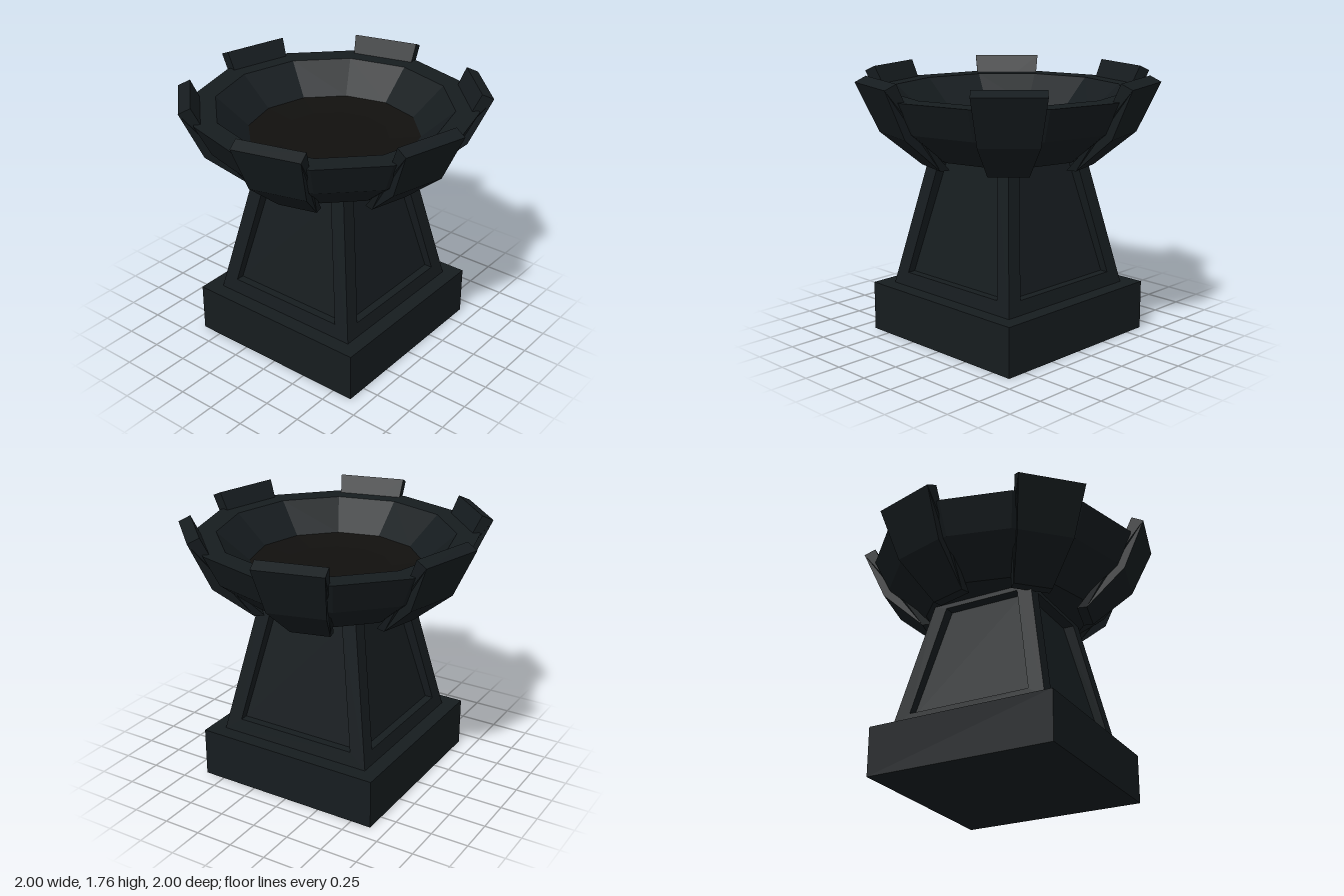
import * as THREE from 'three';

const iron = new THREE.MeshStandardMaterial({ color: 0x161c1f, flatShading: true });
const ash = new THREE.MeshStandardMaterial({ color: 0x11100e, flatShading: true });

function addMesh(parent, name, geometry, material) {
  const mesh = new THREE.Mesh(geometry, material);
  mesh.name = name;
  parent.add(mesh);
  return mesh;
}

// Twelve-sided turned shape from [radius, height] pairs
function turned(points) {
  return new THREE.LatheGeometry(points.map(p => new THREE.Vector2(p[0], p[1])), 12);
}

// One sloping pedestal side: frame, reveal and recessed panel, as nested trapezoids
function pedestalSide() {
  const faceZ = y => 0.54 - (y - 0.33) * 0.2;
  const trapezoid = (y0, w0, y1, w1, depth0, depth1) => [
    [-w0, y0, faceZ(y0) - depth0], [w0, y0, faceZ(y0) - depth0],
    [w1, y1, faceZ(y1) - depth1], [-w1, y1, faceZ(y1) - depth1],
  ];
  const loops = [
    trapezoid(0.33, 0.54, 1.235, 0.359, 0, 0),
    trapezoid(0.42, 0.42, 1.2, 0.265, 0, 0),
    trapezoid(0.42, 0.42, 1.2, 0.265, 0.055, 0.075),
  ];
  const positions = [];
  const quad = (a, b, c, d) => positions.push(...a, ...b, ...c, ...a, ...c, ...d);
  for (let l = 0; l < 2; l++) {
    for (let i = 0; i < 4; i++) {
      const j = (i + 1) % 4;
      quad(loops[l][i], loops[l][j], loops[l + 1][j], loops[l + 1][i]);
    }
  }
  quad(...loops[2]);
  const geometry = new THREE.BufferGeometry();
  geometry.setAttribute('position', new THREE.Float32BufferAttribute(positions, 3));
  geometry.computeVertexNormals();
  return geometry;
}

// Bent rib that follows the bowl wall and widens upward
function ribGeometry() {
  const section = [[0.5, 1.18], [0.565, 1.18], [0.833, 1.41], [0.977, 1.73], [0.9, 1.765], [0.75, 1.45]];
  const shape = new THREE.Shape(section.map(p => new THREE.Vector2(p[0], p[1])));
  const geometry = new THREE.ExtrudeGeometry(shape, { depth: 2, bevelEnabled: false });
  geometry.translate(0, 0, -1);
  const halfWidth = y => y < 1.41
    ? THREE.MathUtils.mapLinear(y, 1.18, 1.41, 0.13, 0.188)
    : Math.min(0.224, THREE.MathUtils.mapLinear(y, 1.41, 1.73, 0.188, 0.224));
  const pos = geometry.attributes.position;
  for (let i = 0; i < pos.count; i++) pos.setZ(i, pos.getZ(i) * halfWidth(pos.getY(i)));
  geometry.computeVertexNormals();
  return geometry;
}

export function createModel() {
  const model = new THREE.Group();
  model.name = 'brazier';

  // Square plinth
  addMesh(model, 'plinth', new THREE.BoxGeometry(1.28, 0.33, 1.28), iron).position.y = 0.165;

  // Tapered pedestal with a recessed panel on each side
  const pedestal = new THREE.Group();
  pedestal.name = 'pedestal';
  model.add(pedestal);
  const side = pedestalSide();
  for (let i = 0; i < 4; i++) {
    addMesh(pedestal, 'pedestalSide', side, iron).rotation.y = i * Math.PI / 2;
  }

  // Bowl shell and the shallow bed of ash inside it
  addMesh(model, 'bowl', turned([
    [0, 1.235], [0.555, 1.235], [0.815, 1.44], [0.92, 1.65], [0.77, 1.65], [0.56, 1.46],
  ]), iron);
  addMesh(model, 'ashBed', turned([[0.56, 1.46], [0.36, 1.43], [0, 1.43]]), ash);

  // Ribs on every second face of the bowl
  const ribs = new THREE.Group();
  ribs.name = 'ribs';
  model.add(ribs);
  const rib = ribGeometry();
  for (let i = 0; i < 6; i++) {
    addMesh(ribs, 'rib', rib, iron).rotation.y = -Math.PI / 12 + i * Math.PI / 3;
  }
  return model;
}
